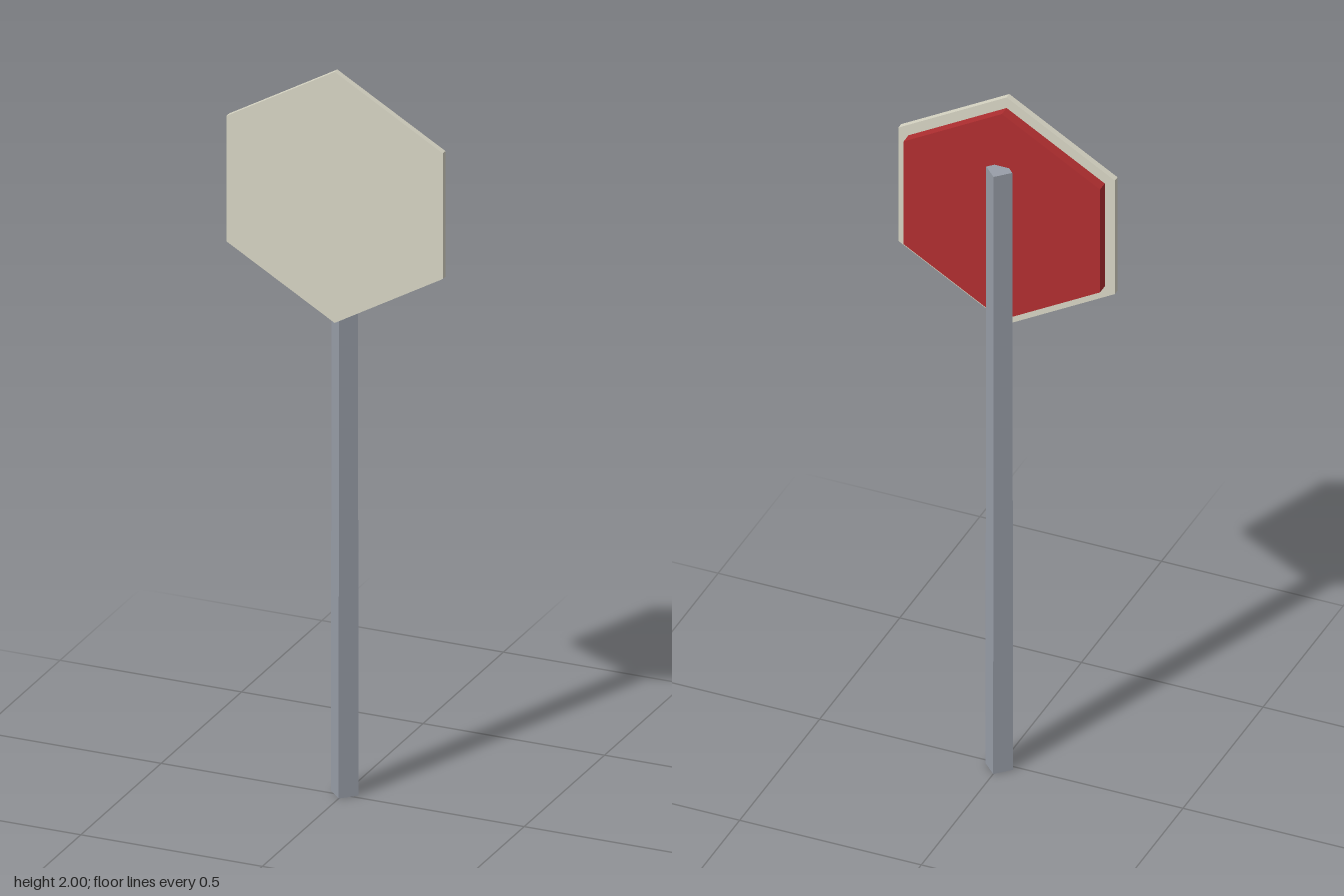
import * as THREE from 'three';

const material = (name, color) => {
  const m = new THREE.MeshStandardMaterial({ color, flatShading: true });
  m.name = name;
  return m;
};

export function createModel() {
  const group = new THREE.Group();
  group.name = 'roadSign';
  const cream = material('cream', 0xd6d4c3);
  const red = material('red', 0xb02e30);
  const steel = material('steelGrey', 0x989ea8);

  // Hexagonal plate standing upright, point at the top
  const addPlate = (name, radius, back, front, mat) => {
    const geometry = new THREE.CylinderGeometry(radius, radius, front - back, 6);
    geometry.rotateX(Math.PI / 2);
    const plate = new THREE.Mesh(geometry, mat);
    plate.name = name;
    plate.position.set(0, 1.657, (back + front) / 2);
    group.add(plate);
  };
  addPlate('facePlate', 0.344, 0.033, 0.05, cream);
  addPlate('backPlate', 0.312, 0.003, 0.033, red);

  // Slightly tapered square post, corners facing front and sides
  const post = new THREE.Mesh(new THREE.CylinderGeometry(0.036, 0.038, 1.81, 4), steel);
  post.name = 'post';
  post.position.set(0, 0.905, -0.013);
  group.add(post);

  return group;
}
